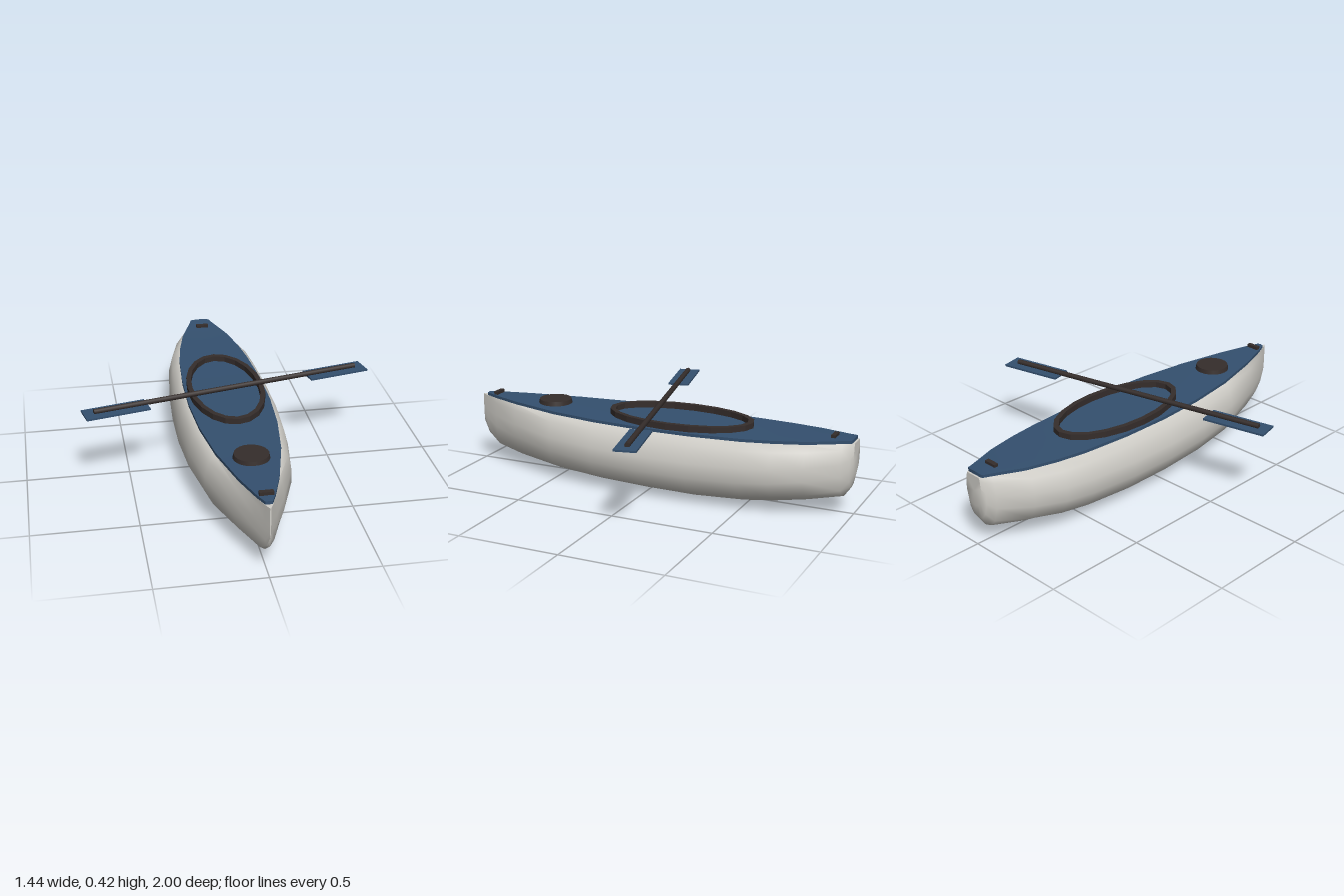
import * as THREE from 'three';
import { toCreasedNormals } from 'three/addons/utils/BufferGeometryUtils.js';

// Lofts mirrored half sections (bottom centre -> side -> top centre), stations running front to back
function loft(stations, section, crease) {
  const rings = stations.map((s) => {
    const half = section(s);
    const mirrored = half.slice(1, -1).reverse().map(([x, y]) => [-x, y]);
    return half.concat(mirrored).map(([x, y]) => [x, y, s.z]);
  });
  const n = rings[0].length, pos = [], idx = [];
  rings.forEach((r) => r.forEach((p) => pos.push(...p)));
  for (let i = 0; i < rings.length - 1; i++) {
    for (let j = 0; j < n; j++) {
      const k = (j + 1) % n;
      const a = i * n + j, b = i * n + k, c = a + n, d = b + n;
      idx.push(a, c, b, b, c, d);
    }
  }
  // End caps
  [0, rings.length - 1].forEach((i) => {
    const ring = rings[i], centre = pos.length / 3;
    pos.push(0, (ring[0][1] + ring[n / 2][1]) / 2, ring[0][2]);
    for (let j = 0; j < n; j++) {
      const a = i * n + j, b = i * n + (j + 1) % n;
      if (i === 0) idx.push(centre, a, b);
      else idx.push(centre, b, a);
    }
  });
  const g = new THREE.BufferGeometry();
  g.setAttribute('position', new THREE.Float32BufferAttribute(pos, 3));
  g.setIndex(idx);
  return toCreasedNormals(g, crease);
}

export function createModel() {
  const model = new THREE.Group();
  const mat = (name, color) => new THREE.MeshStandardMaterial({ name, color });
  const shell = mat('paleGreyShell', 0xd0cec8);
  const blue = mat('navyBlue', 0x34506f);
  const dark = mat('darkTrim', 0x352d2b);

  const add = (name, geometry, material, x = 0, y = 0, z = 0, parent = model) => {
    const m = new THREE.Mesh(geometry, material);
    m.name = name;
    m.position.set(x, y, z);
    parent.add(m);
    return m;
  };

  // Stations: z, keel height, sheer height, hull half width, deck half width
  const stations = [
    [1.0, 0.2, 0.345, 0.003, 0.002],
    [0.97, 0.135, 0.344, 0.018, 0.016],
    [0.9, 0.08, 0.342, 0.05, 0.042],
    [0.75, 0.053, 0.338, 0.115, 0.09],
    [0.5, 0.026, 0.333, 0.203, 0.15],
    [0.25, 0.01, 0.331, 0.242, 0.185],
    [0.0, 0.003, 0.33, 0.257, 0.2],
    [-0.25, 0.0, 0.33, 0.254, 0.197],
    [-0.5, 0.012, 0.332, 0.238, 0.178],
    [-0.65, 0.03, 0.336, 0.22, 0.155],
    [-0.8, 0.053, 0.341, 0.172, 0.12],
    [-0.95, 0.08, 0.349, 0.09, 0.062],
    [-0.985, 0.13, 0.351, 0.064, 0.05],
    [-1.0, 0.2, 0.352, 0.05, 0.04],
  ].map(([z, keel, sheer, w, d]) => ({ z, keel, sheer, w, d }));

  // Hull with rounded chine and an inward-sloping gunwale
  const hullProfile = [[0.45, 0.045], [0.8, 0.175], [0.99, 0.43], [0.985, 0.65], [0.9, 0.9]];
  add('hull', loft(stations, ({ keel, sheer, w, d }) => {
    const h = sheer - keel;
    return [[0, keel], ...hullProfile.map(([u, v]) => [u * w, keel + v * h]), [d, sheer], [0, sheer]];
  }, 0.9), shell);

  // Thin deck following the sheer line
  const deckStations = stations.slice(1).map((s) => ({ ...s, z: THREE.MathUtils.clamp(s.z, -0.99, 0.965) }));
  add('deck', loft(deckStations, ({ sheer, d }) =>
    [[0, sheer - 0.004], [d, sheer - 0.004], [d, sheer + 0.014], [0, sheer + 0.016]], 0.5), blue);

  // Cockpit rim: faceted oval ring
  const rimShape = new THREE.Shape();
  const rimHole = new THREE.Path();
  const sides = 20;
  for (let i = 0; i < sides; i++) {
    const a = (i / sides) * Math.PI * 2, c = Math.cos(a), s = Math.sin(a);
    const step = i ? 'lineTo' : 'moveTo';
    rimShape[step](0.188 * c, 0.372 * s);
    rimHole[step](0.164 * c, 0.344 * s);
  }
  rimShape.closePath();
  rimHole.closePath();
  rimShape.holes.push(rimHole);
  const rim = new THREE.ExtrudeGeometry(rimShape, { depth: 0.032, bevelEnabled: false });
  rim.rotateX(-Math.PI / 2);
  add('cockpitRim', rim, dark, 0, 0.342, -0.125);

  // Hatch cover and end grab handles
  add('hatchCover', new THREE.CylinderGeometry(0.08, 0.085, 0.024, 24), dark, 0, 0.358, 0.57);
  add('bowHandle', new THREE.BoxGeometry(0.064, 0.02, 0.022), dark, 0, 0.363, 0.905);
  add('sternHandle', new THREE.BoxGeometry(0.064, 0.02, 0.022), dark, 0, 0.365, -0.895);

  // Double-bladed paddle lying across the boat
  const paddle = new THREE.Group();
  paddle.name = 'paddle';
  paddle.position.set(0, 0.411, -0.017);
  paddle.rotation.y = 0.218;
  model.add(paddle);
  const shaft = new THREE.CylinderGeometry(0.013, 0.013, 1.36, 8);
  shaft.rotateZ(Math.PI / 2);
  add('paddleShaft', shaft, dark, 0, 0, 0, paddle);
  for (const side of [1, -1]) {
    add(side > 0 ? 'leftBlade' : 'rightBlade', new THREE.BoxGeometry(0.31, 0.009, 0.105), blue,
      side * 0.573, -0.012, 0, paddle);
  }

  return model;
}
